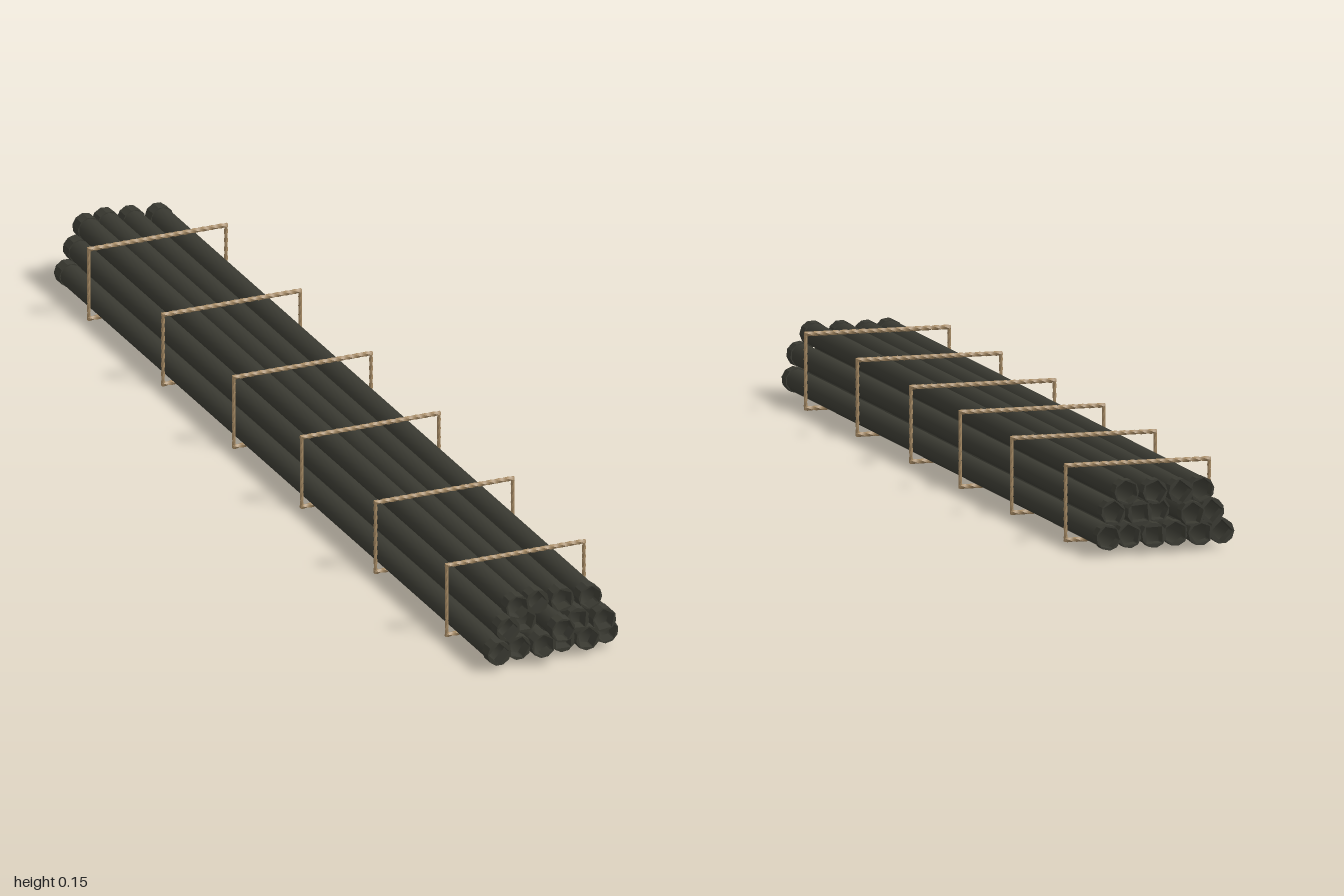
import * as THREE from 'three';

export function createModel() {
  const model = new THREE.Group();
  const steel = new THREE.MeshStandardMaterial({ color: 0x3a3a32, side: THREE.DoubleSide });
  steel.name = 'dark steel';
  const rope = new THREE.MeshStandardMaterial({ color: 0xa68a64 });
  rope.name = 'tan rope';

  const polygon = (Type, sides, radius, turn) => {
    const path = new Type();
    for (let i = 0; i < sides; i++) {
      const a = turn + (i / sides) * Math.PI * 2;
      path[i ? 'lineTo' : 'moveTo'](Math.cos(a) * radius, Math.sin(a) * radius);
    }
    path.closePath();
    return path;
  };

  // Stacked open pipes: each row gives height, x positions and lengthwise shifts
  const LENGTH = 1.93, COLLAR = 0.025;
  const rows = [
    { y: 0.033, xs: [-0.112, -0.068, -0.024, 0.02, 0.064, 0.108], shifts: [0, -0.01, 0, -0.01, 0, -0.015] },
    { y: 0.073, xs: [-0.09, -0.046, 0, 0.044, 0.088], shifts: [-0.01, -0.035, 0.035, 0, 0.02] },
    { y: 0.113, xs: [-0.071, -0.028, 0.018, 0.069], shifts: [-0.01, -0.02, -0.01, 0] },
  ];
  const tubeGeo = new THREE.CylinderGeometry(0.0215, 0.0215, LENGTH - 0.01, 10, 1, true).rotateX(Math.PI / 2);
  let n = 0;
  for (const { y, xs, shifts } of rows) {
    xs.forEach((x, i) => {
      const pipe = new THREE.Group();
      pipe.name = 'pipe';
      pipe.position.set(x, y, shifts[i]);
      const tube = new THREE.Mesh(tubeGeo, steel);
      tube.name = 'pipeWall';
      pipe.add(tube);

      // Thick end rings with a rough angular bore
      const turn = n * 1.3;
      const ring = polygon(THREE.Shape, 10, 0.0235, turn);
      ring.holes.push(polygon(THREE.Path, 4 + (n % 3), 0.0215, turn));
      const ringGeo = new THREE.ExtrudeGeometry(ring, { depth: COLLAR, bevelEnabled: false });
      for (const z of [-LENGTH / 2, LENGTH / 2 - COLLAR]) {
        const collar = new THREE.Mesh(ringGeo, steel);
        collar.name = 'endCollar';
        collar.position.z = z;
        pipe.add(collar);
      }
      model.add(pipe);
      n++;
    });
  }

  // A bar along x whose square section twists like rope
  const ropeBar = (length, thick) => {
    const geo = new THREE.BoxGeometry(length, thick, thick, Math.round(length / 0.006), 1, 1);
    const p = geo.attributes.position;
    for (let i = 0; i < p.count; i++) {
      const a = p.getX(i) * 90, py = p.getY(i), pz = p.getZ(i);
      p.setY(i, py * Math.cos(a) - pz * Math.sin(a));
      p.setZ(i, py * Math.sin(a) + pz * Math.cos(a));
    }
    geo.computeVertexNormals();
    return geo;
  };
  const acrossGeo = ropeBar(0.278, 0.0065);
  const uprightGeo = ropeBar(0.138, 0.005).rotateZ(Math.PI / 2);

  // Six rectangular bindings around the bundle
  for (const z of [0.785, 0.468, 0.14, -0.162, -0.477, -0.807]) {
    const binding = new THREE.Group();
    binding.name = 'ropeBinding';
    binding.position.z = z;
    const add = (name, geo, x, y) => {
      const bar = new THREE.Mesh(geo, rope);
      bar.name = name;
      bar.position.set(x, y, 0);
      binding.add(bar);
    };
    add('topRope', acrossGeo, 0, 0.1415);
    add('bottomRope', acrossGeo, 0, 0.0046);
    for (const side of [-1, 1]) add('sideRope', uprightGeo, side * 0.1365, 0.073);
    model.add(binding);
  }
  return model;
}
